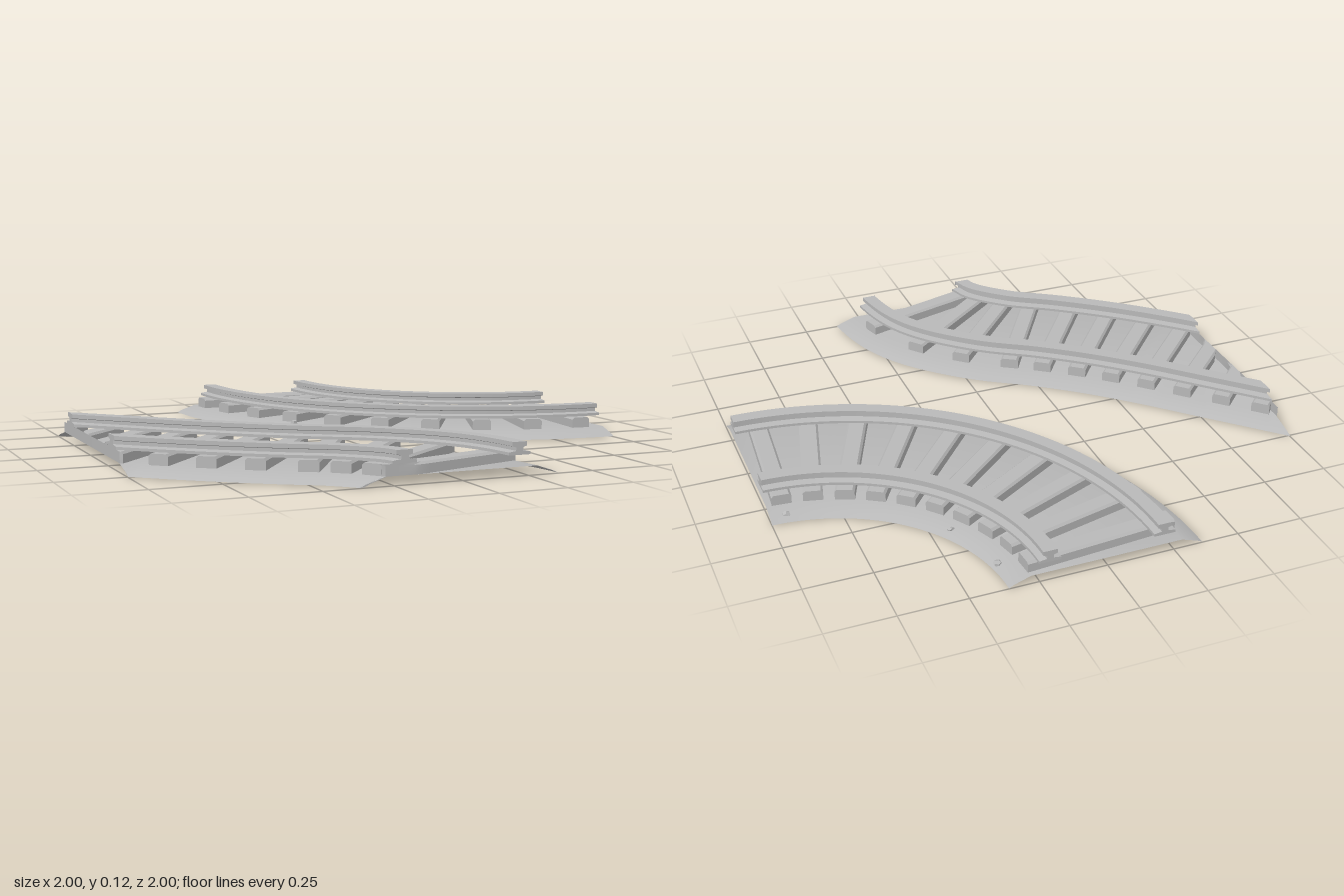
import * as THREE from 'three';
import { toCreasedNormals } from 'three/addons/utils/BufferGeometryUtils.js';

const stone = new THREE.MeshStandardMaterial({ color: 0xb8b8b8, side: THREE.DoubleSide });
stone.name = 'stoneGrey';

// Cross-sections as [sideways, up]
const BED = [[0.36, 0], [0.34, 0.01], [0.28, 0.03], [-0.28, 0.03], [-0.34, 0.01], [-0.36, 0]];
const SLEEPER = [[-0.036, 0.03], [0.036, 0.03], [0.036, 0.062], [0.028, 0.07], [-0.028, 0.07], [-0.036, 0.062]];
const RAIL = [[-0.04, 0.07], [0.04, 0.07], [0.04, 0.08], [0.012, 0.084], [0.012, 0.096],
  [0.026, 0.1], [0.026, 0.115], [-0.026, 0.115], [-0.026, 0.1], [-0.012, 0.096], [-0.012, 0.084], [-0.04, 0.08]];

// Sweep a cross-section along frames {p, t}; clip pulls points back onto the tile edge
function sweep(profile, frames, closed, clip) {
  const rings = frames.map(({ p, t }) => profile.map(([s, y]) =>
    clip(new THREE.Vector3(p.x - t.z * s, y, p.z + t.x * s))));
  const pos = [];
  const tri = (a, b, c) => {
    const area = b.clone().sub(a).cross(c.clone().sub(a)).length();
    if (area > 1e-9) pos.push(...a, ...b, ...c);
  };
  const n = profile.length;
  for (let k = 0; k < rings.length - 1; k++) {
    for (let i = 0; i < (closed ? n : n - 1); i++) {
      const j = (i + 1) % n, A = rings[k], B = rings[k + 1];
      tri(A[i], B[i], B[j]);
      tri(A[i], B[j], A[j]);
    }
  }
  if (closed) {
    const first = rings[0], last = rings[rings.length - 1];
    const outline = profile.map(([x, y]) => new THREE.Vector2(x, y));
    for (const [a, b, c] of THREE.ShapeUtils.triangulateShape(outline, [])) {
      tri(first[a], first[b], first[c]);
      tri(last[a], last[c], last[b]);
    }
  }
  const g = new THREE.BufferGeometry();
  g.setAttribute('position', new THREE.Float32BufferAttribute(pos, 3));
  return toCreasedNormals(g, 0.35);
}

// Frames running crosswise through one sleeper
function crossFrames({ p, t }) {
  const side = new THREE.Vector3(-t.z, 0, t.x);
  return Array.from({ length: 17 }, (_, i) => ({
    p: p.clone().addScaledVector(side, -0.285 + 0.57 * i / 16), t: side,
  }));
}

function buildTrack(name, frameAt, steps, sleeperSpots, clip) {
  const track = new THREE.Group();
  track.name = name;
  const add = (part, geometry) => {
    if (!geometry.attributes.position.count) return;
    const mesh = new THREE.Mesh(geometry, stone);
    mesh.name = part;
    track.add(mesh);
  };
  const frames = Array.from({ length: steps + 1 }, (_, i) => frameAt(i / steps));
  add('gravelBed', sweep(BED, frames, false, clip));
  for (const s of [-1, 1]) {
    add(s < 0 ? 'leftRail' : 'rightRail',
      sweep(RAIL.map(([x, y]) => [x + s * 0.212, y]), frames, true, clip));
  }
  for (const u of sleeperSpots) add('sleeper', sweep(SLEEPER, crossFrames(frameAt(u)), true, clip));
  return track;
}

export function createModel() {
  const model = new THREE.Group();
  model.name = 'curvedTracks';

  // Quarter-circle track
  const arc = u => {
    const a = u * Math.PI / 2;
    return {
      p: new THREE.Vector3(1 - Math.cos(a), 0, -1 + Math.sin(a)),
      t: new THREE.Vector3(Math.sin(a), 0, Math.cos(a)),
    };
  };
  model.add(buildTrack('quarterTurnTrack', arc, 40,
    Array.from({ length: 10 }, (_, i) => (i + 0.5) / 10), v => v));

  // S-bend track leaving the tile on the diagonal
  const path = new THREE.CatmullRomCurve3([
    [0, 1.12], [0, 1], [-0.055, 0.83], [-0.22, 0.65], [-0.42, 0.515],
    [-0.61, 0.37], [-0.8, 0.2], [-1, 0], [-1.35, -0.35],
  ].map(([x, z]) => new THREE.Vector3(x, 0, z)), false, 'centripetal');
  path.arcLengthDivisions = 400;
  const bend = u => ({ p: path.getPointAt(u), t: path.getTangentAt(u) });
  const clipTile = v => {
    const over = Math.max(0, -1 - v.x);
    v.x += over;
    v.z = Math.min(1, v.z + over);
    return v;
  };
  const length = path.getLength(), spots = [];
  for (let s = 0.2; s < length - 0.12; s += 0.158) spots.push(s / length);
  model.add(buildTrack('sBendTrack', bend, 70, spots, clipTile));

  // Loose pebbles on the bed
  const pebbles = [[0.35, -0.87, 0.012], [0.43, -0.63, 0.012], [0.94, -0.33, 0.012], [-0.01, -0.56, 0.03],
    [0.39, -0.42, 0.03], [-0.1, -0.27, 0.03], [0.07, -0.09, 0.03], [0.84, -0.09, 0.03]];
  pebbles.forEach(([x, z, y], i) => {
    const pebble = new THREE.Mesh(new THREE.DodecahedronGeometry(0.016), stone);
    pebble.name = 'pebble';
    pebble.position.set(x, y, z);
    pebble.rotation.set(i, i * 2, 0);
    pebble.scale.y = 0.6;
    model.add(pebble);
  });
  return model;
}
